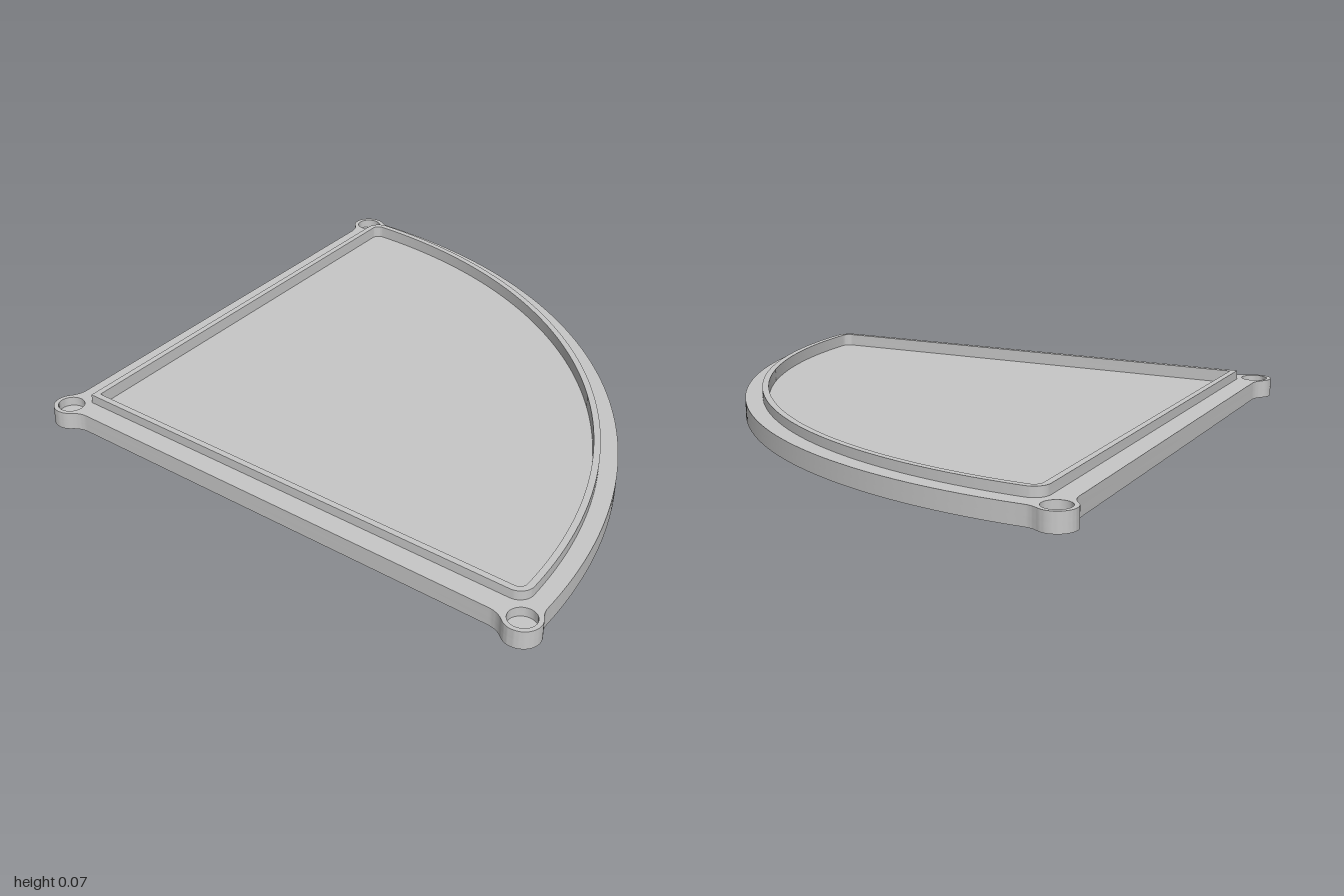
import * as THREE from 'three';
import { toCreasedNormals } from 'three/addons/utils/BufferGeometryUtils.js';

const BOSS_R = 0.044, HOLE_R = 0.033, FILLET = 0.06;
const EDGE_OFFSET = 0.016; // straight edge lies this far outside the boss centres
const APEX = new THREE.Vector2(-0.651, 0);
const CORNER = new THREE.Vector2(0.257, 0.956);
const ARC_R = 1.344;
const U = CORNER.clone().sub(APEX).normalize(); // along the straight edge
const N = new THREE.Vector2(-U.y, U.x); // outward from the straight edge

const angle = (from, to) => Math.atan2(to.y - from.y, to.x - from.x);

// Points on an arc from a0 to a1, turning in direction dir (+1 ccw, -1 cw)
function arc(c, r, a0, a1, dir, steps) {
  const turn = Math.PI * 2;
  const span = ((((a1 - a0) * dir) % turn) + turn) % turn;
  return Array.from({ length: steps + 1 }, (_, i) => {
    const a = a0 + (dir * span * i) / steps;
    return new THREE.Vector2(c.x + r * Math.cos(a), c.y + r * Math.sin(a));
  });
}

// Complete a half outline by reflecting it across the x axis, counter-clockwise
function mirrored(half) {
  const other = half.slice(1, -1).reverse().map(p => new THREE.Vector2(p.x, -p.y));
  return [...half, ...other].reverse();
}

// Sector with a round boss blended into each of its three corners
function flangeOutline() {
  const reach = BOSS_R + FILLET, off = FILLET + EDGE_OFFSET;
  const along = Math.sqrt(reach * reach - off * off);
  const f1 = APEX.clone().addScaledVector(U, along).addScaledVector(N, off);
  const f2 = CORNER.clone().addScaledVector(U, -along).addScaledVector(N, off);
  const d = APEX.distanceTo(CORNER), R = ARC_R + FILLET;
  const t = angle(APEX, CORNER) - Math.acos((R * R + d * d - reach * reach) / (2 * R * d));
  const f3 = new THREE.Vector2(APEX.x + R * Math.cos(t), R * Math.sin(t));
  const inward = Math.atan2(-N.y, -N.x);
  return mirrored([
    ...arc(APEX, BOSS_R, Math.PI, angle(APEX, f1), -1, 12),
    ...arc(f1, FILLET, angle(f1, APEX), inward, 1, 8).slice(1),
    ...arc(f2, FILLET, inward, angle(f2, CORNER), 1, 8),
    ...arc(CORNER, BOSS_R, angle(CORNER, f2), angle(CORNER, f3), -1, 24).slice(1),
    ...arc(f3, FILLET, angle(f3, CORNER), angle(f3, APEX), 1, 8).slice(1),
    ...arc(APEX, ARC_R, t, 0, -1, 40).slice(1),
  ]);
}

// Plain sector with its two arc corners rounded
function sectorOutline(apexX, r, round) {
  const s = apexX + round / U.y - APEX.x;
  const t = -s * U.x + Math.sqrt((r - round) ** 2 - (s * U.y) ** 2);
  const centre = new THREE.Vector2(APEX.x + s, 0).addScaledVector(U, t);
  const a = angle(APEX, centre);
  return mirrored([
    new THREE.Vector2(apexX, 0),
    ...arc(centre, round, Math.atan2(N.y, N.x), a, -1, 10),
    ...arc(APEX, r, a, 0, -1, 40).slice(1),
  ]);
}

export function createModel() {
  const group = new THREE.Group();
  group.name = 'quarterRoundLid';
  const grey = new THREE.MeshStandardMaterial({ color: 0xc8c8c8 });
  grey.name = 'grey';

  // Horizontal slab between two heights, with optional holes
  function slab(name, outline, y0, y1, holes = []) {
    const shape = new THREE.Shape(outline);
    shape.holes = holes.map(h => new THREE.Path(h));
    let geo = new THREE.ExtrudeGeometry(shape, { depth: y1 - y0, bevelEnabled: false });
    geo.rotateX(-Math.PI / 2);
    geo.translate(0, y0, 0);
    geo = toCreasedNormals(geo, 0.5);
    const mesh = new THREE.Mesh(geo, grey);
    mesh.name = name;
    group.add(mesh);
  }

  const outer = flangeOutline();
  const lipOuter = sectorOutline(-0.6, 1.301, 0.036);
  const lipInner = sectorOutline(-0.578, 1.285, 0.02);
  const bossHoles = [APEX, CORNER, new THREE.Vector2(CORNER.x, -CORNER.y)]
    .map(c => arc(c, HOLE_R, 0, Math.PI * 2 - 0.2, 1, 30));

  slab('bottomPlate', outer, 0, 0.022);
  slab('flange', outer, 0.022, 0.045, [lipInner, ...bossHoles]);
  slab('recessedFloor', lipInner, 0.022, 0.036);
  slab('raisedLip', lipOuter, 0.045, 0.068, [lipInner]);
  return group;
}
